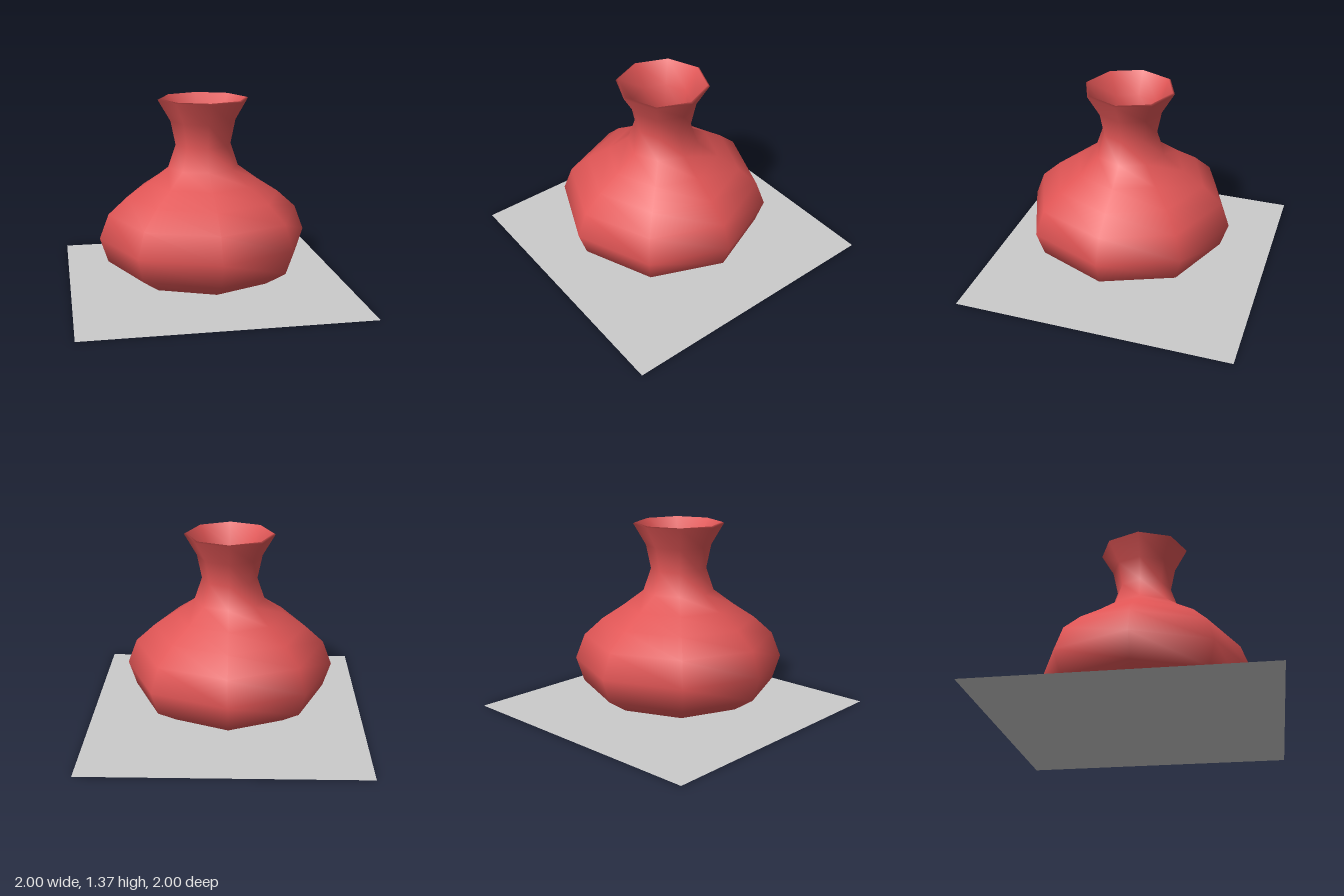
import * as THREE from 'three';

export function createModel() {
  const model = new THREE.Group();
  model.name = 'vaseOnGround';

  // Flat square base sheet
  const base = new THREE.Mesh(
    new THREE.PlaneGeometry(2, 2).rotateX(-Math.PI / 2),
    new THREE.MeshStandardMaterial({ color: 0xcccccc, side: THREE.DoubleSide })
  );
  base.name = 'basePlane';
  model.add(base);

  // Vase: outer wall bottom to rim, then the inner wall back down to the floor
  const outer = [
    [0, 0.005], [0.16, 0.008], [0.36, 0.035], [0.545, 0.088], [0.7, 0.19],
    [0.757, 0.366], [0.69, 0.543], [0.555, 0.666], [0.4, 0.767], [0.255, 0.874],
    [0.2, 1.035], [0.235, 1.206], [0.325, 1.36],
  ];
  const inner = [
    [0.31, 1.368], [0.215, 1.21], [0.178, 1.035], [0.237, 0.86], [0.388, 0.75],
    [0.54, 0.65], [0.67, 0.535], [0.735, 0.366], [0.682, 0.2], [0.535, 0.106],
    [0.355, 0.055], [0.16, 0.028], [0, 0.025],
  ];
  const profile = [...outer, ...inner].map(([r, y]) => new THREE.Vector2(r, y));
  const vase = new THREE.Mesh(
    new THREE.LatheGeometry(profile, 8),
    new THREE.MeshStandardMaterial({ color: 0xe05555 })
  );
  vase.name = 'vase';
  vase.position.set(-0.02, 0, 0.035);
  model.add(vase);

  return model;
}
